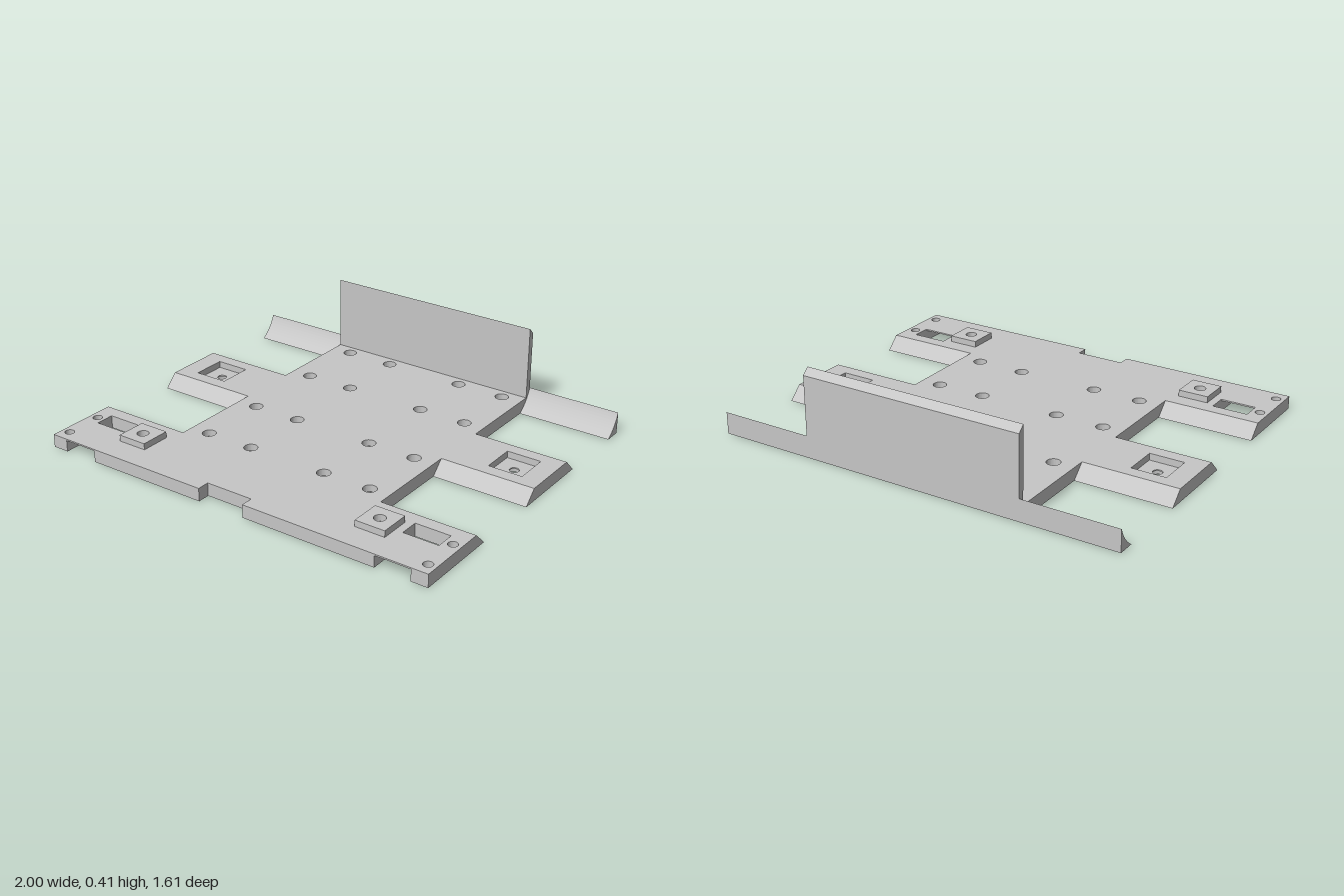
import * as THREE from 'three';

export function createModel() {
  const root = new THREE.Group();
  root.name = 'mountingPlate';
  const grey = new THREE.MeshStandardMaterial({ color: 0xc6c6c6 });
  grey.name = 'grey plastic';

  const add = (name, geometry) => {
    const mesh = new THREE.Mesh(geometry, grey);
    mesh.name = name;
    root.add(mesh);
    return mesh;
  };
  // Plan shapes in (x, z), always wound counter-clockwise
  const polygon = (pts) => {
    const v = pts.map(([x, z]) => new THREE.Vector2(x, -z));
    return new THREE.Shape(THREE.ShapeUtils.isClockWise(v) ? v.reverse() : v);
  };
  const rect = (x0, x1, z0, z1) => polygon([[x0, z0], [x1, z0], [x1, z1], [x0, z1]]);
  const square = (x, z, r) => rect(x - r, x + r, z - r, z + r);
  const circle = (x, z, r) => new THREE.Path().absarc(x, -z, r, 0, Math.PI * 2, true);
  const hexagon = (x, z, r) => polygon(Array.from({ length: 6 }, (_, i) =>
    [x + r * Math.cos(i * Math.PI / 3), z + r * Math.sin(i * Math.PI / 3)]));

  // Horizontal slab: plan outline extruded upwards
  const slab = (name, shape, holes, y0, y1) => {
    shape.holes = holes;
    const g = new THREE.ExtrudeGeometry(shape, { depth: y1 - y0, bevelEnabled: false, curveSegments: 14 });
    return add(name, g.rotateX(-Math.PI / 2).translate(0, y0, 0));
  };
  // Prism: profile in (z, y) extruded along x
  const prism = (name, profile, x0, x1) => {
    const shape = new THREE.Shape(profile.map(([z, y]) => new THREE.Vector2(-z, y)));
    const g = new THREE.ExtrudeGeometry(shape, { depth: x1 - x0, bevelEnabled: false });
    return add(name, g.rotateY(Math.PI / 2).translate(x0, 0, 0));
  };

  // Half width of the body, half depth, and heights of the plate's layers
  const W = 0.54, D = 0.803, SINK = 0.024, POCKET = 0.03, ROOF = 0.055, T = 0.062;

  // Plan outline, with open channels at the front when asked
  const outline = (channels) => {
    const half = (s) => {
      const front = channels
        ? [[0.92, D], [0.92, 0.512], [0.75, 0.512], [0.75, D]] : [];
      return [[W, -D], [W, -0.31], [1, -0.31], [1, -0.02], [W, -0.02], [W, 0.45], [1, 0.45], [1, D], ...front]
        .map(([x, z]) => [s * x, z]);
    };
    const notch = [[0.09, D], [0.09, 0.744], [-0.145, 0.744], [-0.145, D]];
    return polygon([...half(1), ...notch, ...half(-1).reverse()]);
  };

  // Hole positions
  const bolts = [];
  for (const x of [-0.44, -0.2, 0.2, 0.44])
    for (const z of [-0.716, -0.376, 0.044, 0.384]) bolts.push([x, z]);
  const bosses = [[-0.64, 0.603], [0.64, 0.603]];
  const arms = [[-0.823, -0.166], [0.823, -0.166]];
  const corners = [[-0.96, 0.562], [0.96, 0.562], [-0.96, 0.743], [0.96, 0.743]];

  const circles = (points, r) => points.map(([x, z]) => circle(x, z, r));
  const hexagons = (points, r) => points.map(([x, z]) => hexagon(x, z, r));
  const nutPockets = () => [...hexagons(bolts, 0.06), ...hexagons(bosses, 0.045)];
  const upperHoles = () => [
    ...circles(bolts, 0.032), ...circles(bosses, 0.022), ...circles(corners, 0.022),
    ...arms.map(([x, z]) => square(x, z, 0.083)),
  ];
  const windows = [-0.835, 0.835].map((x) => rect(x - 0.085, x + 0.085, 0.512, 0.602));

  // Plate layers: countersinks and nut pockets, recess floor, middle, top skin
  slab('plateUnderside', outline(true),
    [...nutPockets(), ...circles(corners, 0.035), ...circles(arms, 0.042)], 0, SINK);
  slab('plateRecessFloor', outline(true),
    [...nutPockets(), ...circles(corners, 0.022), ...circles(arms, 0.022)], SINK, POCKET);
  slab('plateMiddle', outline(true), upperHoles(), POCKET, ROOF);
  slab('plateTop', outline(false), [...upperHoles(), ...windows], ROOF, T);

  // Conical rings filling the screw holes to form countersinks
  const countersink = (x, z, r) => {
    const profile = [[0.022, SINK], [r, 0], [r, SINK], [0.022, SINK]].map(([a, b]) => new THREE.Vector2(a, b));
    add('countersink', new THREE.LatheGeometry(profile.reverse(), 28)).position.set(x, 0, z);
  };
  corners.forEach(([x, z]) => countersink(x, z, 0.035));
  arms.forEach(([x, z]) => countersink(x, z, 0.042));

  // Raised square bosses at the front
  bosses.forEach(([x, z]) => slab('boss', square(x, z, 0.073), [circle(x, z, 0.027)], T, 0.092));

  // Sloped edges of the arms and the curved rear wings
  const curve = new THREE.QuadraticBezierCurve(
    new THREE.Vector2(-0.72, 0), new THREE.Vector2(-0.78, 0.04), new THREE.Vector2(-D, 0.104));
  const wing = [[-D, 0], ...curve.getPoints(10).map((p) => [p.x, p.y])];
  for (const [x0, x1] of [[-1, -W], [W, 1]]) {
    prism('frontArmSlope', [[0.45, 0], [0.45, T], [0.387, 0]], x0, x1);
    prism('middleArmFrontSlope', [[-0.02, 0], [0.042, 0], [-0.02, T]], x0, x1);
    prism('middleArmRearSlope', [[-0.31, 0], [-0.31, T], [-0.373, 0]], x0, x1);
    prism('rearWing', wing, x0, x1);
  }

  // Upright back wall with a chamfered top
  prism('backWall', [[-D, T], [-0.772, T], [-0.772, 0.415], [-D, 0.385]], -W, W);

  return root;
}
